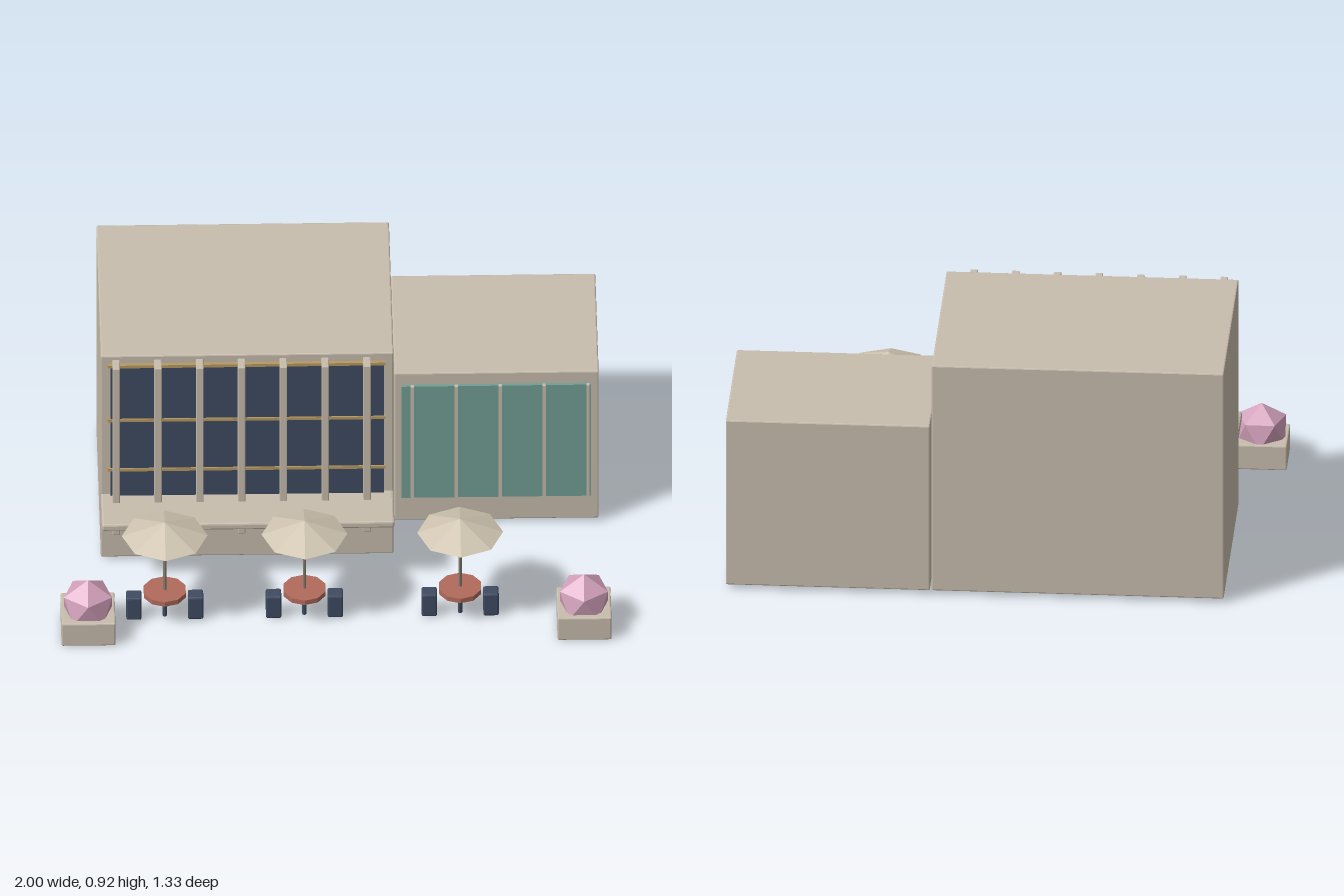
import * as THREE from 'three';
import { RoundedBoxGeometry } from 'three/addons/geometries/RoundedBoxGeometry.js';

const paint = (name, color) => {
  const m = new THREE.MeshStandardMaterial({ color, flatShading: true });
  m.name = name;
  return m;
};

export function createModel() {
  const stone = paint('stone', 0xc8bdad);
  const navy = paint('navy', 0x3f4b62);
  const teal = paint('teal glass', 0x729f95);
  const gold = paint('gold', 0xb89a62);
  const canvas = paint('canvas', 0xd0c5b1);
  const pole = paint('pole grey', 0x877d70);
  const clay = paint('terracotta', 0xb06a5a);
  const pink = paint('blossom pink', 0xd4a2bc);

  const model = new THREE.Group();
  model.name = 'buildingWithTerrace';

  const add = (parent, name, geo, mat, x = 0, y = 0, z = 0) => {
    const mesh = new THREE.Mesh(geo, mat);
    mesh.name = name;
    mesh.position.set(x, y, z);
    parent.add(mesh);
    return mesh;
  };
  // Box given by its limits on each axis; bevel > 0 softens the edges
  const box = (parent, name, mat, [x0, x1], [y0, y1], [z0, z1], bevel = 0) => {
    const size = [x1 - x0, y1 - y0, z1 - z0];
    const geo = bevel
      ? new RoundedBoxGeometry(...size, 1, bevel)
      : new THREE.BoxGeometry(...size);
    return add(parent, name, geo, mat, (x0 + x1) / 2, (y0 + y1) / 2, (z0 + z1) / 2);
  };

  // Main block with its glazed front
  const main = new THREE.Group();
  main.name = 'mainBuilding';
  model.add(main);
  box(main, 'mainBlock', stone, [-0.845, 0.217], [0.016, 0.919], [-0.665, 0.14], 0.005);
  box(main, 'mainGlass', navy, [-0.81, 0.182], [0.175, 0.88], [0.13, 0.152]);
  for (const y of [0.217, 0.418, 0.64, 0.882])
    box(main, 'goldRail', gold, [-0.82, 0.188], [y - 0.006, y + 0.006], [0.143, 0.157]);
  for (let i = 0; i < 7; i++) {
    const x = -0.79 + i * 0.1517;
    box(main, 'fin', stone, [x - 0.0135, x + 0.0135], [0.155, 0.902], [0.138, 0.197], 0.003);
  }
  box(main, 'canopy', stone, [-0.845, 0.217], [0.272, 0.3], [0.13, 0.333], 0.007);

  // Lower wing with a teal shopfront
  const wing = new THREE.Group();
  wing.name = 'wing';
  model.add(wing);
  box(wing, 'wingBlock', stone, [0.224, 0.966], [0.016, 0.676], [-0.665, -0.064], 0.005);
  box(wing, 'wingGlass', teal, [0.25, 0.937], [0.125, 0.625], [-0.07, -0.052]);
  for (let i = 0; i < 5; i++) {
    const x = 0.289 + i * 0.1595;
    box(wing, 'mullion', stone, [x - 0.006, x + 0.006], [0.122, 0.63], [-0.055, -0.04]);
  }

  // Terrace tables, each with a parasol and two stools
  for (const x of [-0.62, -0.113, 0.452]) {
    const set = new THREE.Group();
    set.name = 'tableSet';
    set.position.set(x, 0, 0.487);
    model.add(set);
    add(set, 'tableLeg', new THREE.CylinderGeometry(0.008, 0.008, 0.1, 8), navy, 0, 0.055);
    add(set, 'tableTop', new THREE.CylinderGeometry(0.08, 0.08, 0.02, 10), clay, 0, 0.112);
    add(set, 'parasolPole', new THREE.CylinderGeometry(0.006, 0.006, 0.28, 8), pole, 0, 0.25);
    add(set, 'parasol', new THREE.ConeGeometry(0.156, 0.06, 8), canvas, 0, 0.393);
    for (const s of [-1, 1])
      add(set, 'stool', new RoundedBoxGeometry(0.056, 0.096, 0.056, 1, 0.006), navy, s * 0.112, 0.053);
  }

  // Planters with faceted blossom bushes, one point upward
  for (const s of [-1, 1]) {
    const planter = new THREE.Group();
    planter.name = s < 0 ? 'planterRight' : 'planterLeft';
    planter.position.set(s * 0.9, 0, 0.565);
    model.add(planter);
    add(planter, 'planterBox', new RoundedBoxGeometry(0.196, 0.098, 0.196, 1, 0.005), stone, 0, 0.049);
    const bush = new THREE.IcosahedronGeometry(0.103, 0);
    bush.rotateZ(Math.atan(0.618)).rotateY(0.3);
    add(planter, 'bush', bush, pink, 0, 0.121);
  }
  return model;
}
